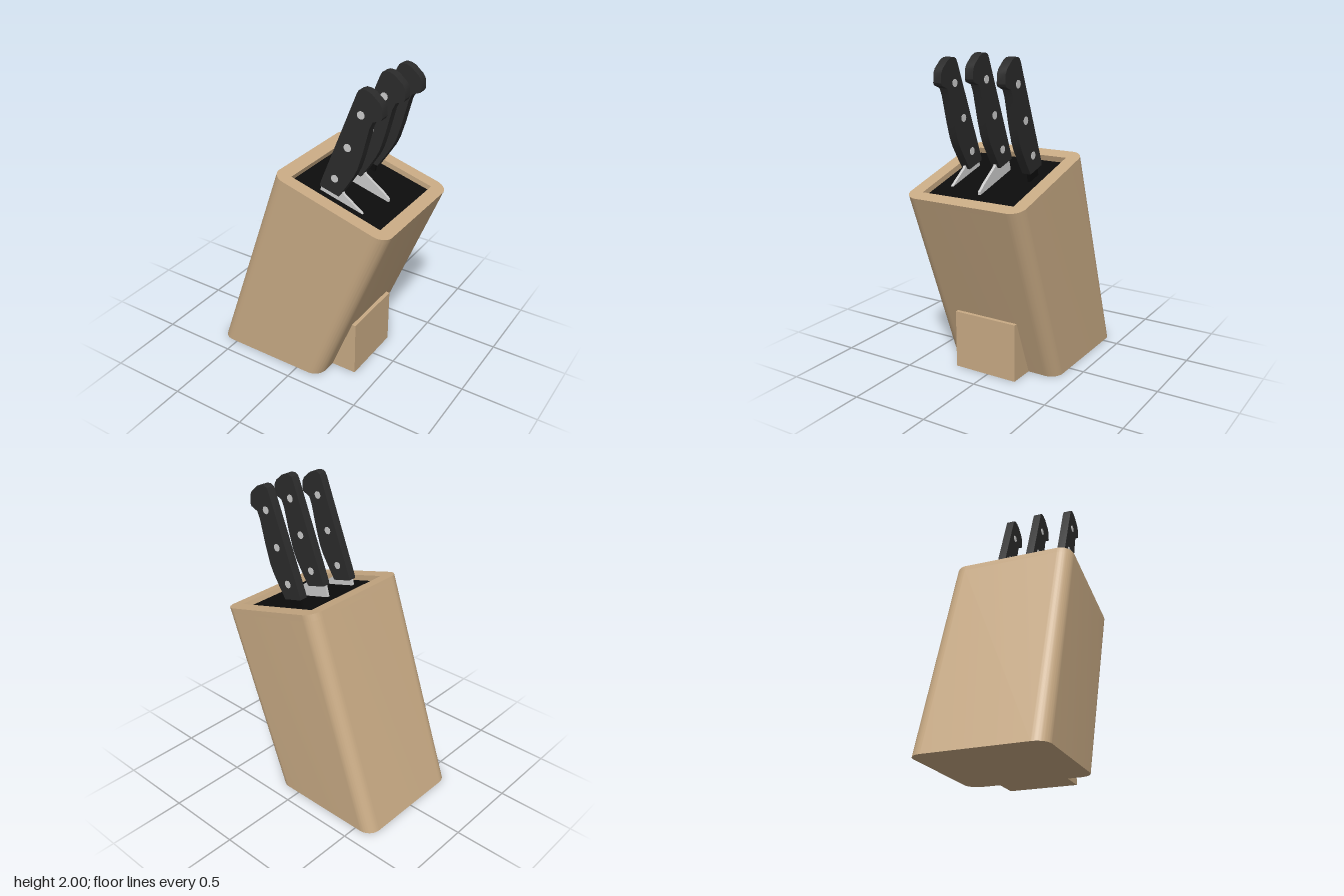
import * as THREE from 'three';
import { toCreasedNormals } from 'three/addons/utils/BufferGeometryUtils.js';

const material = (color) => new THREE.MeshStandardMaterial({ color });
const wood = material(0xc8aa84);
const black = material(0x0c0c0c);
const handleBlack = material(0x2b2b2b);
const steel = material(0xcccccc);

const X0 = -0.625, X1 = 0.175; // footprint of the block along x

function addMesh(parent, name, geometry, mat) {
  const mesh = new THREE.Mesh(geometry, mat);
  mesh.name = name;
  parent.add(mesh);
  return mesh;
}

// Rectangle with rounded corners (radius 0 keeps them sharp)
function rectangle(x0, x1, h, r, Type = THREE.Shape) {
  const s = new Type();
  if (r === 0) {
    s.setFromPoints([[x0, -h], [x1, -h], [x1, h], [x0, h]].map((p) => new THREE.Vector2(...p)));
    s.closePath();
    return s;
  }
  s.absarc(x1 - r, -h + r, r, -Math.PI / 2, 0);
  s.absarc(x1 - r, h - r, r, 0, Math.PI / 2);
  s.absarc(x0 + r, h - r, r, Math.PI / 2, Math.PI);
  s.absarc(x0 + r, -h + r, r, Math.PI, Math.PI * 1.5);
  s.closePath();
  return s;
}

// Sweep a footprint between two heights (0 = ground, 1 = sloped top) of the leaning block
function leaningPrism(shape, t0, t1) {
  const geo = new THREE.ExtrudeGeometry(shape, { depth: t1 - t0, bevelEnabled: false, curveSegments: 10 });
  const p = geo.attributes.position;
  for (let i = 0; i < p.count; i++) {
    const u = p.getX(i), v = p.getY(i), t = t0 + p.getZ(i);
    const f = (u - X0) / (X1 - X0);
    const topX = -0.15 + 0.772 * f, topY = 1.375 - 0.215 * f;
    p.setXYZ(i, u + (topX - u) * t, topY * t, -v);
  }
  geo.computeVertexNormals();
  return toCreasedNormals(geo, 0.5);
}

// Side profile given as [x, y] points, extruded symmetrically about z = 0
function slab(points, thickness) {
  const shape = new THREE.Shape(points.map((p) => new THREE.Vector2(...p)));
  const geo = new THREE.ExtrudeGeometry(shape, { depth: thickness, bevelEnabled: false });
  geo.translate(0, 0, -thickness / 2);
  return toCreasedNormals(geo, 0.5);
}

const handleProfile = [
  [0.105, 1.345], [0.235, 1.31], [0.285, 1.385], [0.335, 1.465], [0.36, 1.52], [0.39, 1.62],
  [0.43, 1.78], [0.45, 1.825], [0.5, 1.845], [0.508, 1.86], [0.505, 1.915], [0.49, 1.942],
  [0.44, 1.985], [0.41, 1.998], [0.38, 2.0], [0.358, 1.99], [0.345, 1.965], [0.11, 1.37],
];
const bladeProfile = [[0.075, 1.23], [0.42, 1.16], [0.42, 1.2], [0.38, 1.235], [0.26, 1.32], [0.24, 1.35], [0.11, 1.36]];
const tangProfile = [[0.1, 1.24], [0.2, 1.21], [0.22, 1.33], [0.13, 1.36]];

function makeKnife(name, wideBlade) {
  const knife = new THREE.Group();
  knife.name = name;
  addMesh(knife, 'handle', slab(handleProfile, 0.056), handleBlack);
  if (wideBlade) addMesh(knife, 'blade', slab(bladeProfile, 0.018), steel);
  else addMesh(knife, 'tang', slab(tangProfile, 0.018), black);
  // Rivets pass through the handle and show on both sides
  for (const [x, y] of [[0.375, 1.85], [0.292, 1.635], [0.208, 1.419]]) {
    const rivet = addMesh(knife, 'rivet', new THREE.CylinderGeometry(0.024, 0.024, 0.06, 20), steel);
    rivet.rotation.x = Math.PI / 2;
    rivet.position.set(x, y, 0);
  }
  return knife;
}

export function createModel() {
  const model = new THREE.Group();
  model.name = 'knifeBlock';

  // Leaning block with a shallow recess framed by a rim
  const floorLevel = 0.972;
  const recess = [-0.537, 0.092, 0.315, 0];
  addMesh(model, 'block', leaningPrism(rectangle(X0, X1, 0.4, 0.085), 0, floorLevel), wood);
  const rimShape = rectangle(X0, X1, 0.4, 0.085);
  rimShape.holes.push(rectangle(...recess, THREE.Path));
  addMesh(model, 'rim', leaningPrism(rimShape, floorLevel, 1), wood);
  addMesh(model, 'slotPanel', leaningPrism(rectangle(...recess), floorLevel - 0.01, floorLevel + 0.002), black);

  // Wedge foot propping up the overhanging side
  const foot = addMesh(model, 'foot', slab([[0.17, 0], [0.345, 0], [0.345, 0.375], [0.3, 0.375]], 0.435), wood);
  foot.position.z = 0.018;

  // Knives, each pushed in a little differently along the lean
  for (const [name, z, dx, dy, wide] of [
    ['frontKnife', 0.224, -0.012, -0.035, true],
    ['middleKnife', -0.005, 0, 0, true],
    ['backKnife', -0.212, -0.006, -0.016, false],
  ]) {
    const knife = makeKnife(name, wide);
    knife.position.set(dx, dy, z);
    model.add(knife);
  }
  return model;
}
